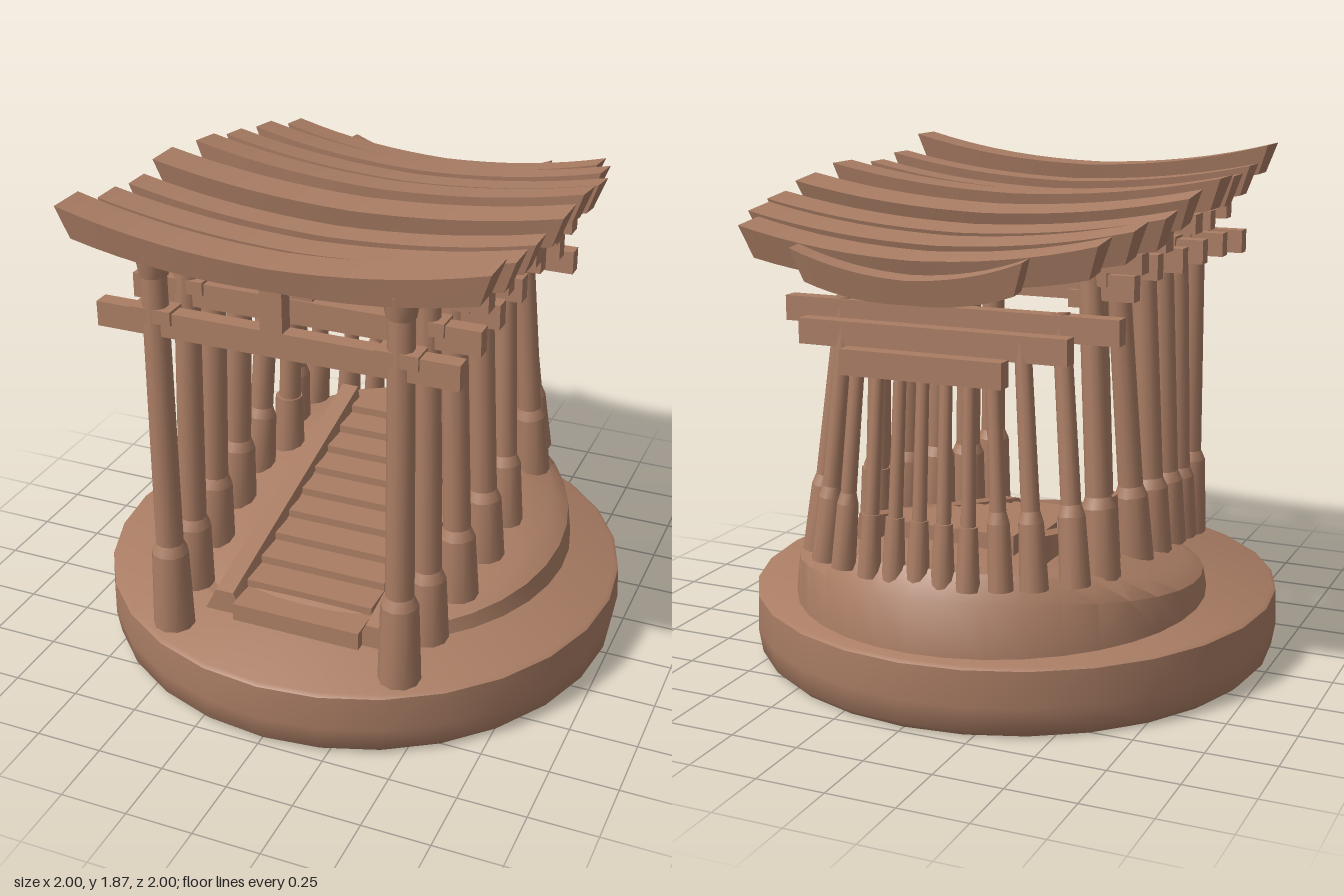
import * as THREE from 'three';
import { toCreasedNormals } from 'three/addons/utils/BufferGeometryUtils.js';

const clay = new THREE.MeshStandardMaterial({ color: 0xaa7d64 });
clay.name = 'clay brown';

const V = (x, y, z) => new THREE.Vector3(x, y, z);

function add(parent, name, geometry) {
  const mesh = new THREE.Mesh(toCreasedNormals(geometry, 0.7), clay);
  mesh.name = name;
  parent.add(mesh);
  return mesh;
}

// Move every vertex of a geometry by a rule
function bend(geometry, rule) {
  const p = geometry.attributes.position, v = V(0, 0, 0);
  for (let i = 0; i < p.count; i++) {
    rule(v.fromBufferAttribute(p, i));
    p.setXYZ(i, v.x, v.y, v.z);
  }
  return geometry;
}

// Round post between two points
function post(parent, name, a, b, rBottom, rTop) {
  const d = b.clone().sub(a);
  const mesh = add(parent, name, new THREE.CylinderGeometry(rTop, rBottom, d.length(), 10));
  mesh.position.copy(a).addScaledVector(d, 0.5);
  mesh.quaternion.setFromUnitVectors(V(0, 1, 0), d.normalize());
}

function box(parent, name, w, h, d, x, y, z) {
  const mesh = add(parent, name, new THREE.BoxGeometry(w, h, d));
  mesh.position.set(x, y, z);
  return mesh;
}

// Upswept top lintel with flared ends and a narrower underside
function lintel(parent, half, tipY, z, depth, rise, tilt) {
  const g = bend(new THREE.BoxGeometry(2, 1, 1, 16, 1, 1), v => {
    const s = Math.abs(v.x), top = v.y > 0;
    v.x *= top ? half : half - 0.04;
    v.z *= top ? depth : depth * 0.75;
    v.y = v.y * (0.085 + 0.03 * s) + rise * Math.pow(s, 2.2);
  });
  const mesh = add(parent, 'topLintel', g);
  mesh.position.set(0, tipY - rise - 0.057, z);
  mesh.rotation.x = tilt;
}

const ground = z => 0.3 + 0.22 * Math.pow(THREE.MathUtils.clamp((0.66 - z) / 1.4, 0, 1), 0.7);

// Lintel z, half width, tip height, depth; tie-beam height, z and half width;
// post foot x and z, post top x and z, post top height, radius
const GATES = [
  [0.77, 0.755, 1.87, 0.15, 1.485, 0.77, 0.65, 0.445, 0.765, 0.44, 0.77, 1.74, 0.05],
  [0.525, 0.75, 1.81, 0.12, 1.5, 0.54, 0.64, 0.47, 0.555, 0.44, 0.54, 1.7, 0.05],
  [0.32, 0.75, 1.79, 0.11, 1.5, 0.32, 0.63, 0.5, 0.32, 0.45, 0.32, 1.69, 0.05],
  [0.08, 0.775, 1.805, 0.15, 1.5, 0.08, 0.63, 0.52, 0.085, 0.46, 0.08, 1.7, 0.05],
  [-0.21, 0.76, 1.775, 0.15, 1.51, -0.17, 0.62, 0.53, -0.13, 0.46, -0.2, 1.68, 0.045],
  [-0.435, 0.75, 1.73, 0.13, 1.47, -0.41, 0.62, 0.53, -0.48, 0.45, -0.42, 1.63, 0.045],
  [-0.62, 0.71, 1.71, 0.14, 1.35, -0.575, 0.63, 0.5, -0.65, 0.41, -0.57, 1.4, 0.035],
  [-0.785, 0.65, 1.68, 0.13, 1.3, -0.71, 0.5, 0.4, -0.77, 0.33, -0.71, 1.34, 0.032],
  [-0.865, 0.42, 1.62, 0.08, 1.22, -0.785, 0.3, 0.3, -0.82, 0.25, -0.77, 1.25, 0.028],
];

function gate(parent, row, i) {
  const [z, half, tipY, depth, tieY, tieZ, tieHalf, fx, fz, tx, tz, topY, r] = row;
  const g = new THREE.Group();
  g.name = 'gate' + (i + 1);
  parent.add(g);
  const tilt = i < 4 ? 0 : -0.12;
  lintel(g, half, tipY, z, depth, i === 0 ? 0.085 : 0.07, tilt);
  box(g, 'tieBeam', tieHalf * 2, 0.09, 0.06, 0, tieY, tieZ);
  const floorY = i === 0 ? 0.25 : ground(fz) - 0.03;
  const footTop = i === 0 ? 0.57 : Math.min(0.72, ground(fz) + 0.22);
  for (const s of [-1, 1]) {
    const foot = V(s * fx, floorY, fz), top = V(s * tx, topY, tz);
    post(g, 'post', foot, top, r * 1.05, r * 0.9);
    const sleeveTop = foot.clone().lerp(top, (footTop - floorY) / (topY - floorY));
    const collar = foot.clone().lerp(top, (footTop + 0.04 - floorY) / (topY - floorY));
    post(g, 'postSleeve', foot, sleeveTop, r * 1.55, r * 1.35);
    post(g, 'sleeveCap', sleeveTop, collar, r * 1.35, r);
    if (i < 6) {
      post(g, 'postCapital', V(s * tx, topY - 0.09, tz), V(s * tx, topY, tz), r, r * 1.3);
      box(g, 'tieWedge', 0.15, 0.05, 0.085, s * tx, tieY + 0.03, tieZ);
    }
  }
  if (i < 6) {
    const low = tipY - 0.18;
    box(g, 'centreStrut', 0.08, low - tieY + 0.06, 0.06, 0, (low + tieY) / 2, (z + tieZ) / 2);
    if (i > 0) box(g, 'lowerLintel', half * 1.75, 0.07, depth * 0.55, 0, low + 0.01, z);
  }
}

export function createModel() {
  const model = new THREE.Group();
  model.name = 'gateTunnel';

  // Round plinth
  add(model, 'plinth', new THREE.LatheGeometry(
    [[0, 0.005], [0.96, 0.005], [0.985, 0.03], [1, 0.12], [0.995, 0.25], [0.98, 0.26], [0, 0.262]]
      .map(p => new THREE.Vector2(...p)), 28));

  // Sloping mound, higher towards the back and along its middle
  const mound = new THREE.LatheGeometry(
    [[1, 0], [0.98, 0.75], [0.89, 1], [0.6, 1], [0.3, 1], [0, 1]]
      .map(p => new THREE.Vector2(...p)), 36);
  add(model, 'mound', bend(mound, v => {
    const crown = Math.max(0, 1 - v.x * v.x - v.z * v.z);
    const z = -0.13 + v.z * 0.8;
    const back = THREE.MathUtils.clamp((0.3 - z) / 0.9, 0, 1);
    v.y = 0.25 + v.y * (ground(z) - 0.25 - 0.06 * v.x * v.x) + 0.08 * crown * back;
    v.x *= 0.77;
    v.z = z;
  }));

  // Stairway with a bank on each side
  const stairs = new THREE.Group();
  stairs.name = 'stairway';
  model.add(stairs);
  for (let i = 0; i < 10; i++) {
    const top = 0.33 + i * 0.031;
    box(stairs, 'step', 0.5, top - 0.25, 0.15, 0, (top + 0.25) / 2, 0.6 - i * 0.125);
  }
  for (const s of [-1, 1]) {
    const bank = bend(new THREE.BoxGeometry(1, 1, 1, 1, 1, 8), v => {
      const t = 0.5 - v.z, top = v.y > 0;
      v.z = 0.64 - t * 1.24;
      v.x = s * (0.3 + 0.02 * t) + v.x * (top ? 0.07 : 0.16);
      v.y = top ? 0.35 + 0.27 * t : 0.26;
    });
    add(stairs, 'sideBank', bank);
  }

  GATES.forEach((row, i) => gate(model, row, i));

  // Inner posts braced to the sixth gate
  for (const s of [-1, 1]) {
    post(model, 'innerPost', V(s * 0.46, 0.44, -0.28), V(s * 0.42, 1.5, -0.275), 0.045, 0.04);
    post(model, 'innerPostSleeve', V(s * 0.46, 0.44, -0.28), V(s * 0.455, 0.7, -0.28), 0.065, 0.055);
    box(model, 'innerBrace', 0.06, 0.06, 0.2, s * 0.42, 1.43, -0.36);
  }

  // Row of slim posts closing the far end
  for (let i = -2; i <= 2; i++) {
    const x = i * 0.085;
    post(model, 'endPost', V(x * 1.1, 0.48, -0.84), V(x, 1.22, -0.78), 0.027, 0.022);
    post(model, 'endPostSleeve', V(x * 1.1, 0.48, -0.84), V(x * 1.08, 0.7, -0.825), 0.042, 0.032);
  }
  return model;
}
